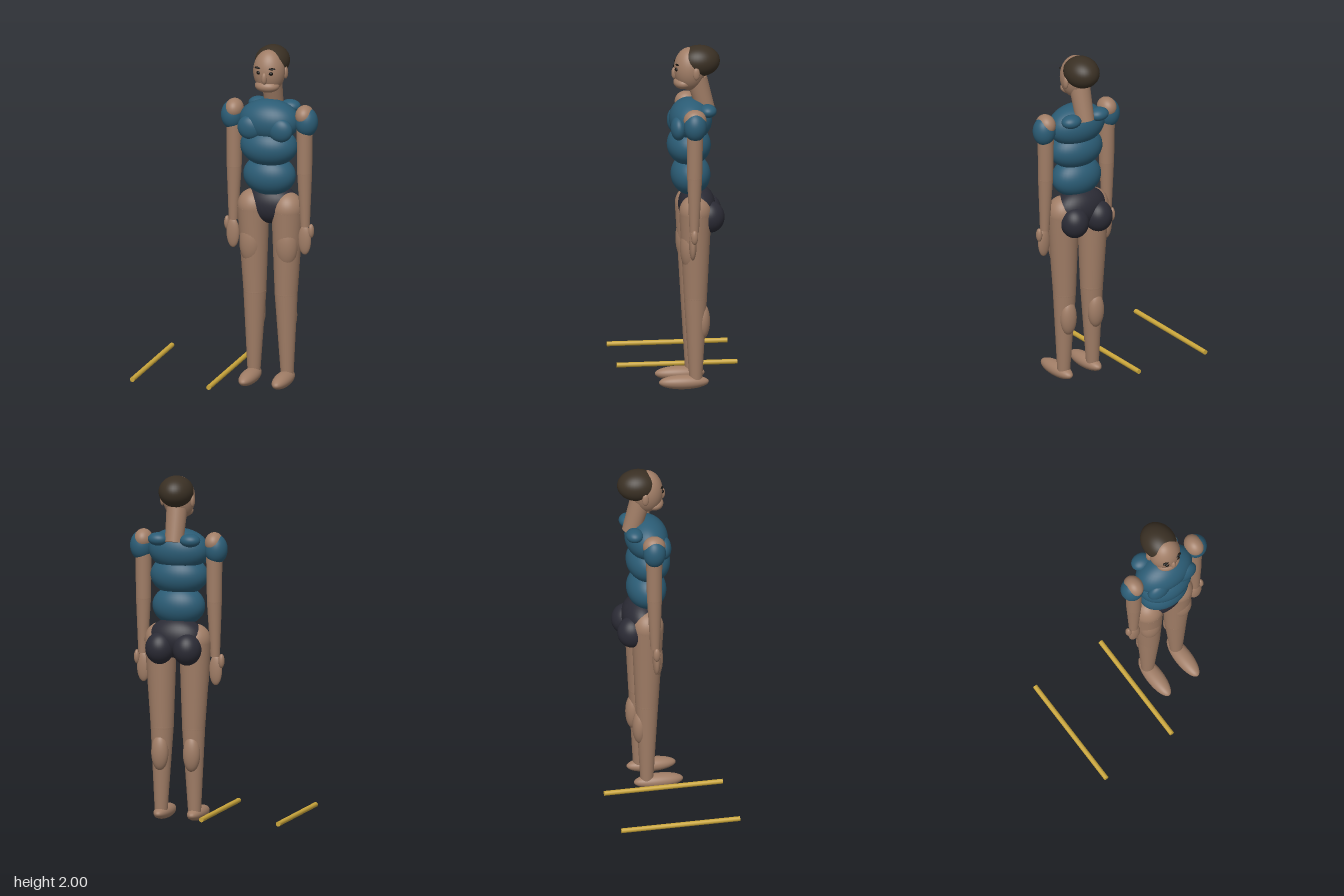
import * as THREE from 'three';

const mat = (name, color) => {
  const m = new THREE.MeshStandardMaterial({ color });
  m.name = name;
  return m;
};

export function createModel() {
  const skin = mat('skin', 0xa07d66);
  const shirt = mat('shirt teal', 0x2b5c75);
  const shorts = mat('shorts charcoal', 0x2b2b35);
  const hair = mat('hair brown', 0x3a3024);
  const black = mat('eye black', 0x17130f);
  const gold = mat('rail gold', 0xc9a53b);

  const root = new THREE.Group();
  const body = new THREE.Group();
  body.name = 'figure';
  body.position.x = 0.206;
  root.add(body);

  const ball = new THREE.SphereGeometry(1, 36, 24);

  // Ellipsoid at a centre with three half sizes
  function blob(name, m, pos, half, parent = body) {
    const mesh = new THREE.Mesh(ball, m);
    mesh.name = name;
    mesh.position.set(...pos);
    mesh.scale.set(...half);
    parent.add(mesh);
    return mesh;
  }

  // Tapered limb between two points
  function limb(name, m, from, to, r0, r1, parent = body) {
    const a = new THREE.Vector3(...from), b = new THREE.Vector3(...to);
    const dir = b.clone().sub(a);
    const mesh = new THREE.Mesh(new THREE.CylinderGeometry(r1, r0, dir.length(), 28), m);
    mesh.name = name;
    mesh.position.copy(a).add(b).multiplyScalar(0.5);
    mesh.quaternion.setFromUnitVectors(new THREE.Vector3(0, 1, 0), dir.normalize());
    parent.add(mesh);
    return mesh;
  }

  // Torso
  blob('waist', shirt, [0, 1.245, -0.05], [0.154, 0.118, 0.113]);
  blob('ribs', shirt, [0, 1.42, -0.04], [0.168, 0.118, 0.125]);
  blob('upperChest', shirt, [0, 1.57, -0.05], [0.178, 0.122, 0.122]);
  blob('pelvis', shorts, [0, 1.065, -0.085], [0.165, 0.118, 0.105]);

  // Neck and head
  limb('neck', skin, [0, 1.62, -0.138], [0, 1.81, -0.085], 0.053, 0.06);
  blob('face', skin, [0, 1.865, -0.045], [0.092, 0.125, 0.09]);
  blob('hair', hair, [0, 1.91, -0.1], [0.098, 0.09, 0.118]);
  blob('jaw', skin, [0, 1.787, -0.008], [0.072, 0.038, 0.056]);
  blob('nose', skin, [0, 1.842, 0.042], [0.016, 0.035, 0.018]);

  // Paired parts, right then left
  for (const s of [-1, 1]) {
    const side = s < 0 ? 'right' : 'left';
    const add = (n, m, p, h) => blob(side + n, m, [p[0] * s, p[1], p[2]], h);
    const bone = (n, m, a, b, r0, r1) =>
      limb(side + n, m, [a[0] * s, a[1], a[2]], [b[0] * s, b[1], b[2]], r0, r1);

    add('Ear', skin, [0.09, 1.855, -0.073], [0.013, 0.036, 0.02]);
    add('Eye', black, [0.037, 1.873, 0.034], [0.013, 0.011, 0.011]);
    const brow = add('Brow', black, [0.038, 1.9, 0.03], [0.025, 0.006, 0.009]);
    brow.rotation.z = s * 0.06;

    add('Pectoral', shirt, [0.092, 1.54, 0.03], [0.072, 0.07, 0.044]);
    add('Trapezius', shirt, [0.095, 1.637, -0.138], [0.06, 0.038, 0.05]);

    // Arm
    add('Sleeve', shirt, [0.223, 1.58, -0.05], [0.066, 0.085, 0.065]);
    add('Shoulder', skin, [0.212, 1.617, -0.05], [0.053, 0.06, 0.065]);
    bone('UpperArm', skin, [0.212, 1.57, -0.05], [0.212, 1.28, -0.048], 0.047, 0.043);
    add('Elbow', skin, [0.212, 1.28, -0.048], [0.043, 0.043, 0.043]);
    bone('Forearm', skin, [0.212, 1.28, -0.048], [0.216, 0.96, -0.045], 0.043, 0.027);
    add('Hand', skin, [0.216, 0.88, -0.037], [0.038, 0.088, 0.021]);
    add('Thumb', skin, [0.253, 0.935, -0.043], [0.017, 0.041, 0.02]);

    // Leg
    add('Buttock', shorts, [0.082, 1.01, -0.15], [0.082, 0.092, 0.085]);
    add('Hip', skin, [0.103, 1.045, -0.065], [0.092, 0.1, 0.092]);
    bone('Thigh', skin, [0.103, 1.04, -0.065], [0.094, 0.545, -0.067], 0.092, 0.066);
    add('ThighMuscle', skin, [0.107, 0.84, -0.035], [0.067, 0.14, 0.058]);
    add('Knee', skin, [0.094, 0.545, -0.067], [0.066, 0.06, 0.066]);
    bone('Shin', skin, [0.094, 0.545, -0.067], [0.1, 0.06, -0.068], 0.066, 0.037);
    add('Calf', skin, [0.095, 0.4, -0.108], [0.05, 0.105, 0.042]);
    add('Foot', skin, [0.1, 0.045, 0], [0.05, 0.041, 0.143]);
  }

  // Two parallel rails beside the figure
  for (const x of [-0.484, -0.024]) {
    limb('rail', gold, [x, 0.066, -0.345], [x, 0.066, 0.345], 0.014, 0.014, root);
  }
  return root;
}
